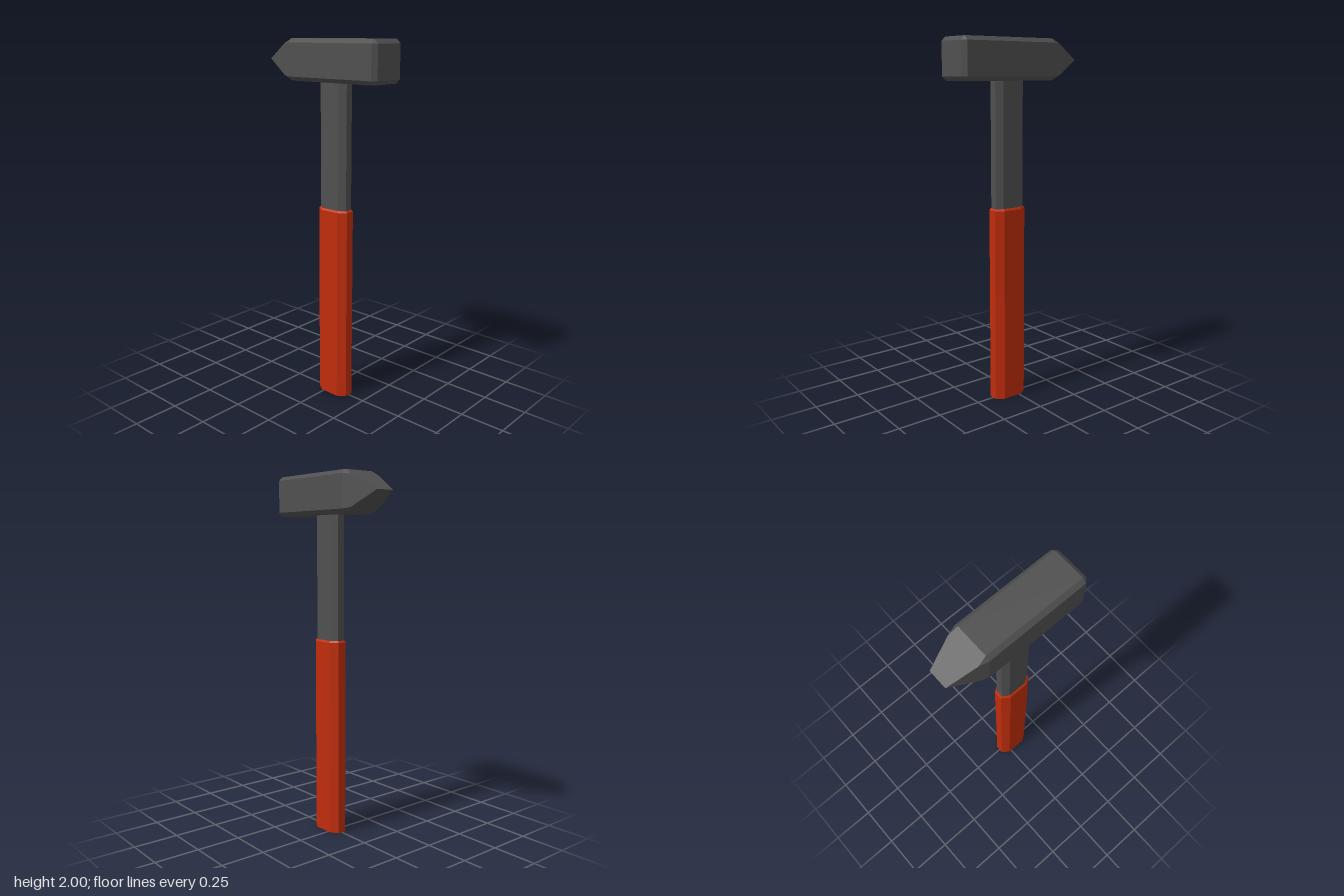
import * as THREE from 'three';
import { ConvexGeometry } from 'three/addons/geometries/ConvexGeometry.js';

const steel = new THREE.MeshStandardMaterial({ name: 'dark steel', color: 0x505050 });
const red = new THREE.MeshStandardMaterial({ name: 'red grip', color: 0xc02d0c });

const HANDLE_Z = 0.0435; // handle axis
const HEAD_Y = 1.89; // head axis

// Mirrors [a, b] into all four quadrants.
const mirror4 = (a, b) => [[a, b], [-a, b], [-a, -b], [a, -b]];

function hullMesh(name, points, material) {
  const mesh = new THREE.Mesh(new ConvexGeometry(points), material);
  mesh.name = name;
  return mesh;
}

// Chamfered octagon across the handle at height y.
function handleRing(y, halfX, halfZ, flatX, flatZ) {
  return [...mirror4(halfX, flatZ), ...mirror4(flatX, halfZ)]
    .map(([x, z]) => new THREE.Vector3(x, y, HANDLE_Z + z));
}

// Rectangle or chamfer corners across the head at depth z.
function headRing(z, halfX, halfY) {
  return mirror4(halfX, halfY).map(([x, y]) => new THREE.Vector3(x, HEAD_Y + y, z));
}

export function createModel() {
  const group = new THREE.Group();
  group.name = 'hammer';

  // Head: bevelled block tapering to a horizontal wedge at the back
  const w = 0.112, h = 0.11, bevel = 0.022;
  const head = [...headRing(0.388, w - bevel, h - bevel)];
  for (const z of [0.365, -0.19]) {
    head.push(...headRing(z, w, h - bevel), ...headRing(z, w - bevel, h));
  }
  // Bevels run out on the wedge, where its slope meets the tapered side
  const t = 0.25;
  head.push(...headRing(-0.19 - 0.198 * t, w - 0.059 * t, h * (1 - t)));
  head.push(new THREE.Vector3(0.053, HEAD_Y, -0.388), new THREE.Vector3(-0.053, HEAD_Y, -0.388));
  group.add(hullMesh('head', head, steel));

  // Shaft between grip and head
  group.add(hullMesh('shaft', [
    ...handleRing(1.05, 0.045, 0.091, 0.021, 0.056),
    ...handleRing(1.8, 0.045, 0.091, 0.021, 0.056),
  ], steel));

  // Grip with a small bevel at its upper rim
  group.add(hullMesh('grip', [
    ...handleRing(0, 0.055, 0.101, 0.025, 0.058),
    ...handleRing(1.09, 0.055, 0.101, 0.025, 0.058),
    ...handleRing(1.1, 0.048, 0.094, 0.022, 0.056),
  ], red));

  return group;
}
